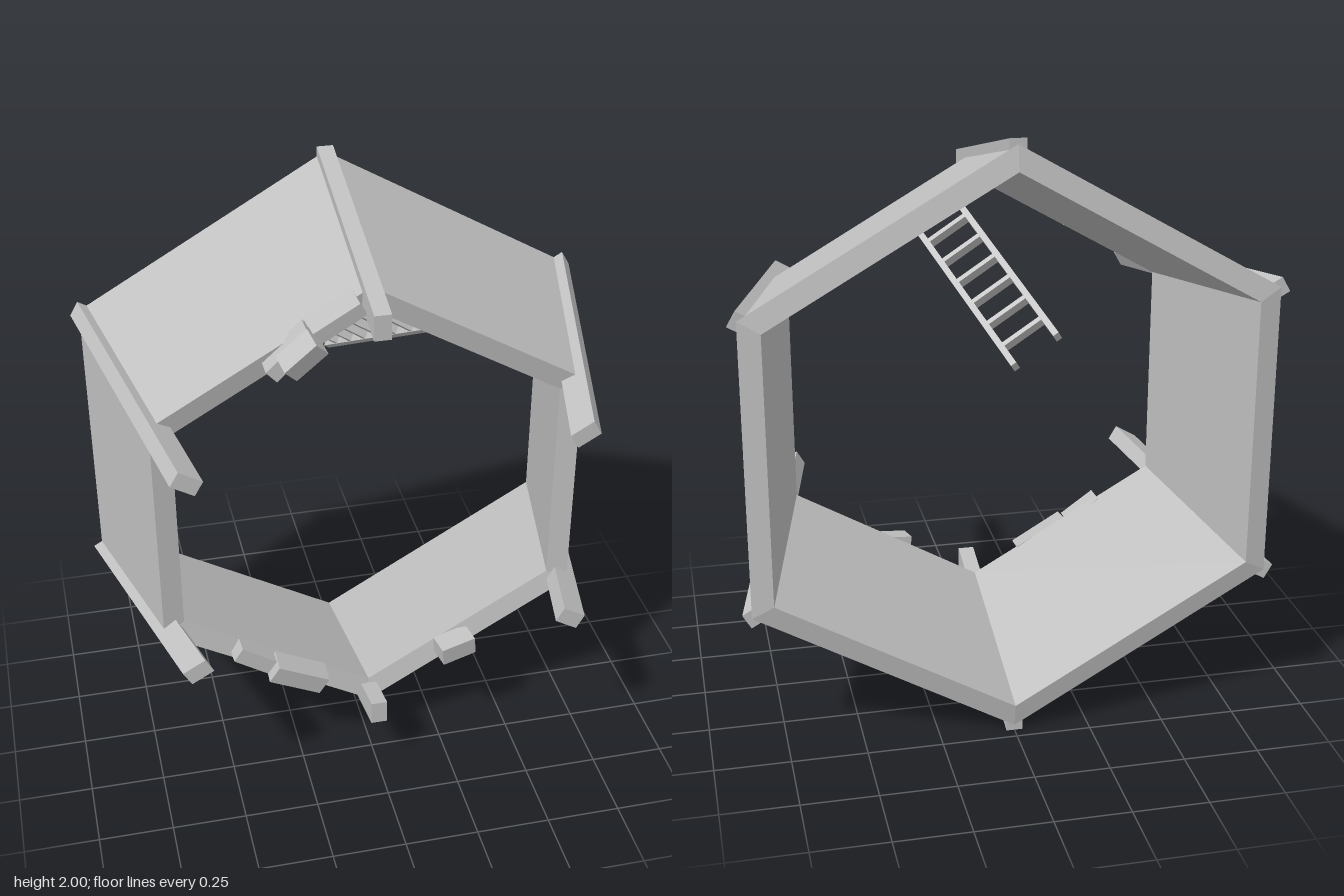
import * as THREE from 'three';

const grey = new THREE.MeshStandardMaterial({ color: 0xc0c0c0, flatShading: true });
grey.name = 'plain grey';

const HEX = Math.cos(Math.PI / 6);

function add(parent, name, geometry) {
  const mesh = new THREE.Mesh(geometry, grey);
  mesh.name = name;
  parent.add(mesh);
  return mesh;
}

// One mitred wall of the tapered hexagonal tunnel; section given as apothem and z
function wallGeometry(i) {
  const section = [[0.85, -0.46], [0.705, 0.21], [0.635, 0.195], [0.78, -0.475], [0.85, -0.46]];
  const points = section.map(([r, z]) => new THREE.Vector2(r / HEX, z));
  const g = new THREE.LatheGeometry(points, 1, (i * Math.PI) / 3, Math.PI / 3).toNonIndexed();
  g.computeVertexNormals();
  return g.rotateX(Math.PI / 2);
}

// Corner beam sloping inwards to the front, with upright ends
function beamGeometry(front) {
  const back = -0.46;
  const g = new THREE.BoxGeometry(0.055, 0.085, front - back).translate(0, 0, (front + back) / 2);
  const p = g.attributes.position;
  for (let i = 0; i < p.count; i++) {
    p.setY(i, p.getY(i) + 0.9575 - 0.25 * (p.getZ(i) - back));
  }
  g.computeVertexNormals();
  return g;
}

// Ladder along its own y, leaning against the upper wall
function makeLadder() {
  const ladder = new THREE.Group();
  ladder.name = 'ladder';
  const length = 0.655, width = 0.16;
  for (const side of [-1, 1]) {
    add(ladder, 'ladderRail', new THREE.BoxGeometry(0.02, length, 0.04)).position.x = side * width / 2;
  }
  for (let i = 0; i < 6; i++) {
    add(ladder, 'ladderRung', new THREE.BoxGeometry(width, 0.015, 0.036)).position.y = (i - 2.5) * 0.098;
  }
  const along = new THREE.Vector3(0.22, 0.325, 0.545).normalize();
  const across = new THREE.Vector3(0.84, -0.54, 0);
  across.addScaledVector(along, -across.dot(along)).normalize();
  const normal = new THREE.Vector3().crossVectors(across, along);
  ladder.quaternion.setFromRotationMatrix(new THREE.Matrix4().makeBasis(across, along, normal));
  ladder.position.set(0.04, 1.483, -0.172);
  return ladder;
}

export function createModel() {
  const model = new THREE.Group();
  model.name = 'hexagonalTunnel';

  // Walls and corner beams; top and bottom beams are shorter
  for (let i = 0; i < 6; i++) {
    add(model, 'wall', wallGeometry(i)).position.y = 1;
    const beam = add(model, 'cornerBeam', beamGeometry(i % 3 === 0 ? 0.36 : 0.475));
    beam.position.y = 1;
    beam.rotation.z = (i * Math.PI) / 3;
  }

  // Loose bricks on the front rim: position, size, rotation
  const bricks = [
    [[-0.26, 1.635, 0.225], [0.18, 0.05, 0.09], [0, 0, 0.75]],
    [[-0.235, 1.655, 0.295], [0.13, 0.065, 0.075], [0.3, 0.2, 0.7]],
    [[-0.115, 1.735, 0.225], [0.17, 0.05, 0.09], [0.1, 0.1, 0.5]],
    [[-0.41, 0.465, 0.215], [0.14, 0.055, 0.08], [0, 0.05, -0.6]],
    [[-0.26, 0.37, 0.23], [0.2, 0.07, 0.08], [0.15, 0, -0.5]],
    [[0.3, 0.395, 0.235], [0.125, 0.07, 0.075], [0.1, 0.2, 0.12]],
  ];
  for (const [position, size, rotation] of bricks) {
    const brick = add(model, 'looseBrick', new THREE.BoxGeometry(...size));
    brick.position.set(...position);
    brick.rotation.set(...rotation);
  }

  model.add(makeLadder());
  return model;
}
